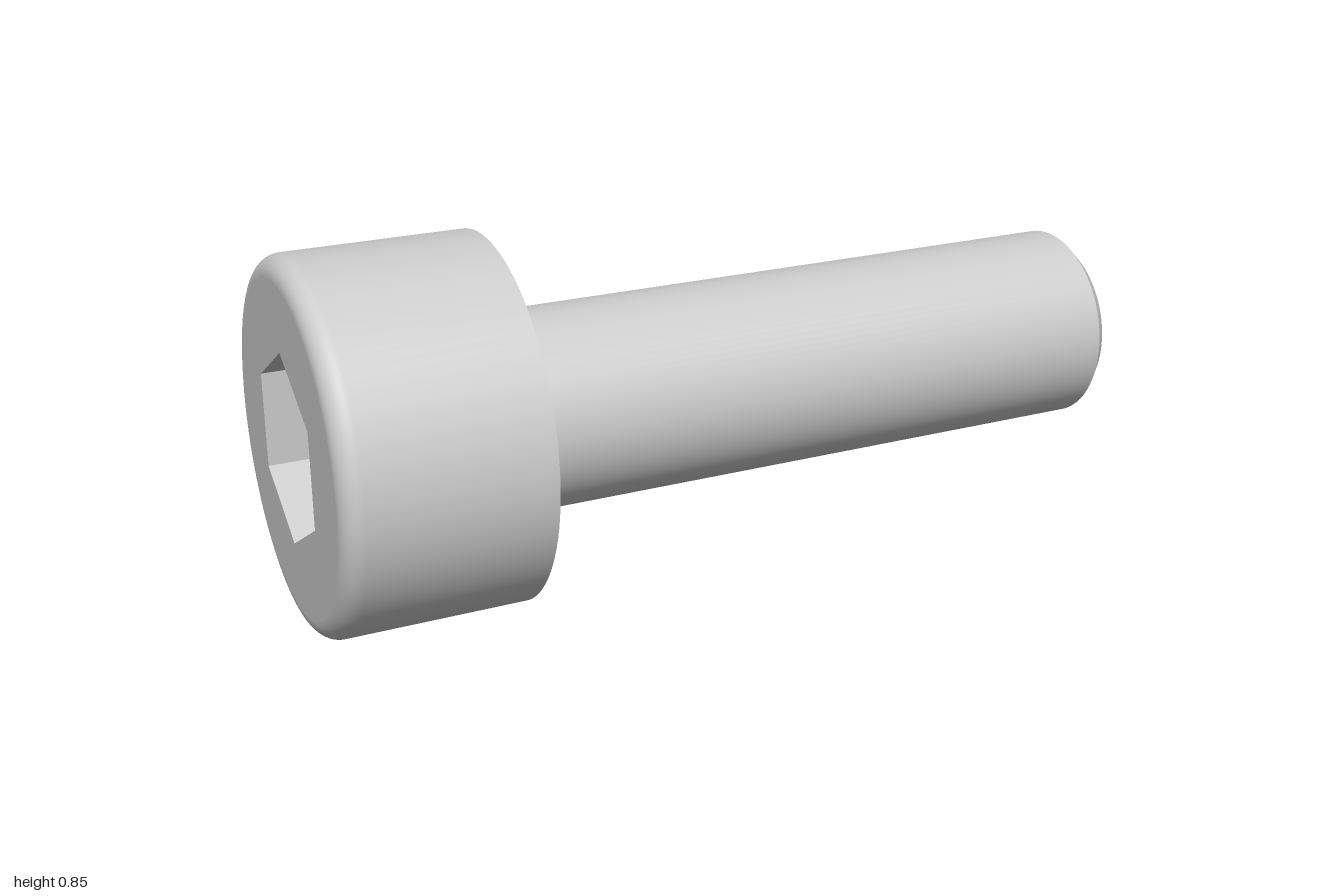
import * as THREE from 'three';

const SEGMENTS = 96;
const HEAD_R = 0.423, SHANK_R = 0.231, TIP_R = 0.2;
const SHOULDER = 0.538;            // where head meets shank, along the axis
const FILLET = 0.046, CHAMFER = 0.031;
const SOCKET_R = 0.222, SOCKET_DEPTH = 0.2;

const material = new THREE.MeshStandardMaterial({ color: 0xcccccc });

function addMesh(parent, name, geometry) {
  const mesh = new THREE.Mesh(geometry, material);
  mesh.name = name;
  parent.add(mesh);
}

// Turned surface from [radius, height] pairs; separate calls keep edges sharp
function turned(points) {
  return new THREE.LatheGeometry(points.map(([r, h]) => new THREE.Vector2(r, h)), SEGMENTS);
}

export function createModel() {
  const model = new THREE.Group();
  model.name = 'socketHeadScrew';

  // Built along y with the head on top, then laid over so the head points to -x
  const screw = new THREE.Group();
  screw.name = 'screw';
  screw.rotation.z = Math.PI / 2;
  screw.position.y = HEAD_R;
  model.add(screw);

  // Shank with chamfered tip
  addMesh(screw, 'shankTip', turned([[0, -1], [TIP_R, -1]]));
  addMesh(screw, 'shankChamfer', turned([[TIP_R, -1], [SHANK_R, -1 + CHAMFER]]));
  addMesh(screw, 'shank', turned([[SHANK_R, -1 + CHAMFER], [SHANK_R, SHOULDER]]));

  // Head: flat shoulder, then side wall with rounded outer rim
  addMesh(screw, 'headShoulder', turned([[SHANK_R, SHOULDER], [HEAD_R, SHOULDER]]));
  const side = [[HEAD_R, SHOULDER]];
  for (let i = 0; i <= 10; i++) {
    const a = (i / 10) * Math.PI / 2;
    side.push([HEAD_R - FILLET + FILLET * Math.cos(a), 1 - FILLET + FILLET * Math.sin(a)]);
  }
  addMesh(screw, 'headSide', turned(side));

  // Head face with a hexagonal opening
  const face = new THREE.Shape();
  face.absarc(0, 0, HEAD_R - FILLET, 0, Math.PI * 2);
  const hexagon = [];
  for (let i = 0; i < 6; i++) {
    const a = i * Math.PI / 3;
    hexagon.push(new THREE.Vector2(SOCKET_R * Math.cos(a), SOCKET_R * Math.sin(a)));
  }
  face.holes.push(new THREE.Path(hexagon));
  const faceGeometry = new THREE.ShapeGeometry(face, SEGMENTS);
  faceGeometry.rotateX(-Math.PI / 2).translate(0, 1, 0);
  addMesh(screw, 'headFace', faceGeometry);

  // Hexagonal socket: inward-facing walls and flat floor
  const socket = new THREE.LatheGeometry([
    new THREE.Vector2(SOCKET_R, 1),
    new THREE.Vector2(SOCKET_R, 1 - SOCKET_DEPTH),
    new THREE.Vector2(0, 1 - SOCKET_DEPTH),
  ], 6, Math.PI / 6).toNonIndexed();
  socket.computeVertexNormals();
  addMesh(screw, 'hexSocket', socket);

  return model;
}
